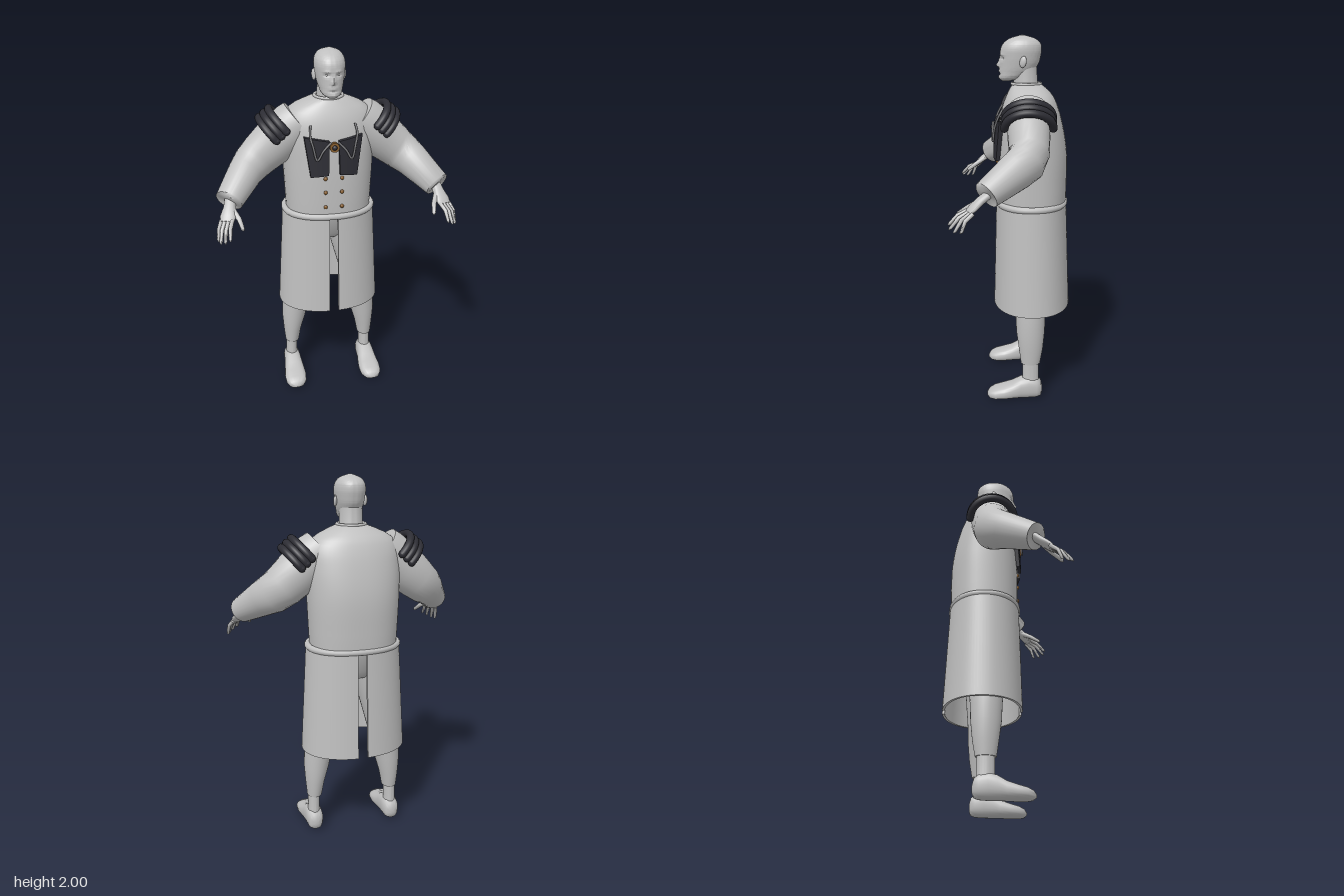
import * as THREE from 'three';
import { toCreasedNormals } from 'three/addons/utils/BufferGeometryUtils.js';

const V3 = (x, y, z) => new THREE.Vector3(x, y, z);
const mat = (name, color) => Object.assign(new THREE.MeshStandardMaterial({ color }), { name });

// Skin a list of point rings; the ends are closed with fans
function loft(rings, crease = 0.9) {
  const n = rings[0].length, pos = [], idx = [], last = rings.length - 1;
  rings.forEach(r => r.forEach(p => pos.push(p.x, p.y, p.z)));
  for (let i = 0; i < last; i++) for (let j = 0; j < n; j++) {
    const k = (j + 1) % n, a = i * n + j, b = i * n + k, c = b + n, d = a + n;
    idx.push(a, b, c, a, c, d);
  }
  [0, last].forEach(i => {
    const c = V3(0, 0, 0), id = pos.length / 3;
    rings[i].forEach(p => c.addScaledVector(p, 1 / n));
    pos.push(c.x, c.y, c.z);
    for (let j = 0; j < n; j++) {
      const a = i * n + j, b = i * n + (j + 1) % n;
      if (i) idx.push(a, b, id); else idx.push(b, a, id);
    }
  });
  const g = new THREE.BufferGeometry();
  g.setAttribute('position', new THREE.Float32BufferAttribute(pos, 3));
  g.setIndex(idx);
  return toCreasedNormals(g, crease);
}

const pw = (v, e) => Math.sign(v) * Math.abs(v) ** (2 / e);

// Horizontal ring from centre x, half width, front z and back z
function ringY(x, y, rx, zf, zb, e = 2, n = 40) {
  return Array.from({ length: n }, (_, j) => {
    const t = j / n * Math.PI * 2;
    return V3(x + rx * pw(Math.sin(t), e), y, (zf + zb) / 2 + (zf - zb) / 2 * pw(Math.cos(t), e));
  });
}

// Smooth sampler over [y, halfWidth, front, back] sections
function sampler(sections) {
  const f = new THREE.CubicInterpolant(sections.map(s => s[0]), sections.flatMap(s => s.slice(1)), 3);
  return y => Array.from(f.evaluate(y));
}

// Tapered limb along [x, y, z, widthRadius, depthRadius]
function limb(pts, s, n = 20) {
  const P = pts.map(p => V3(p[0] * s, p[1], p[2]));
  return loft(P.map((c, i) => {
    const W = P[Math.min(i + 1, P.length - 1)].clone().sub(P[Math.max(i - 1, 0)]).normalize();
    const U = V3(0, 1, 0).cross(W).normalize(), V = W.clone().cross(U);
    return Array.from({ length: n }, (_, j) => {
      const t = j / n * Math.PI * 2;
      return c.clone().addScaledVector(U, pts[i][3] * Math.cos(t)).addScaledVector(V, (pts[i][4] ?? pts[i][3]) * Math.sin(t));
    });
  }));
}

const TORSO = [[1.09, .235, .08, -.295], [1.2, .24, .082, -.298], [1.4, .248, .08, -.295], [1.55, .25, .07, -.268],
  [1.64, .238, .05, -.24], [1.69, .2, .03, -.215], [1.725, .13, .012, -.18], [1.745, .08, 0, -.155]];
const HEAD = [[1.762, .022, .055, .01], [1.775, .045, .067, -.04], [1.81, .062, .068, -.105], [1.85, .072, .066, -.138],
  [1.89, .078, .065, -.15], [1.93, .08, .062, -.155], [1.96, .072, .045, -.147], [1.985, .048, .008, -.113], [2, .008, -.045, -.06]];

export function createModel() {
  const model = new THREE.Group();
  const cloth = mat('light grey', 0xc0c0c0), dark = mat('dark armour', 0x2d2d34);
  const strap = mat('strap grey', 0x77777a), brass = mat('brass', 0x8a6030);
  const add = (name, geo, m = cloth) => {
    const mesh = new THREE.Mesh(geo, m);
    mesh.name = name;
    model.add(mesh);
    return mesh;
  };

  // Coat body and a helper giving its front surface
  const torso = sampler(TORSO);
  add('torso', loft(Array.from({ length: 31 }, (_, i) => {
    const y = 1.09 + .655 * i / 30;
    return ringY(0, y, ...torso(y), 2.4, 56);
  })));
  const frontZ = (x, y) => {
    const [rx, f, b] = torso(y);
    return (f + b) / 2 + (f - b) / 2 * (1 - Math.abs(x / rx) ** 2.4) ** (1 / 2.4);
  };

  // Collar, neck and belt
  const loop = (y, rx, zf, zb, r, e) => new THREE.TubeGeometry(new THREE.CatmullRomCurve3(ringY(0, y, rx, zf, zb, e), true), 80, r, 10, true);
  add('collar', loop(1.748, .075, .003, -.152, .008, 2));
  add('belt', loop(1.107, .246, .08, -.288, .018, 2.2));
  add('neck', loft([ringY(0, 1.7, .07, -.005, -.15), ringY(0, 1.76, .062, -.005, -.135), ringY(0, 1.84, .06, 0, -.13)]));

  // Head with brow, eye sockets, nose, lips and chin
  const head = sampler(HEAD);
  const bump = (p, x, y, sx, sy) => Math.exp(-(((Math.abs(p.x) - x) / sx) ** 2) - ((p.y - y) / sy) ** 2);
  add('head', loft(Array.from({ length: 61 }, (_, i) => {
    const y = 1.762 + .238 * i / 60;
    const ring = ringY(0, y, ...head(y), 2.15, 72);
    ring.forEach(p => {
      if (p.z < 0) return;
      p.z += .018 * bump(p, 0, 1.845, .011, .013) + .008 * bump(p, 0, 1.868, .008, .018) + .006 * bump(p, .03, 1.9, .02, .008)
        - .011 * bump(p, .03, 1.882, .015, .01) + .006 * bump(p, 0, 1.815, .02, .008) - .005 * bump(p, 0, 1.798, .02, .006)
        + .006 * bump(p, 0, 1.78, .018, .012);
    });
    return ring;
  }), 1.2));

  for (const s of [1, -1]) {
    const side = s > 0 ? 'left' : 'right';
    const put = (name, geo, m) => add(side + name, geo, m);

    // Ear and eye
    const ear = put('Ear', new THREE.SphereGeometry(1, 16, 12));
    ear.scale.set(.01, .03, .019);
    ear.position.set(s * .08, 1.865, -.055);
    ear.rotation.set(-.2, s * -.35, 0);
    put('Eye', new THREE.SphereGeometry(.009, 14, 10)).position.set(s * .03, 1.881, .042);

    // Sleeve with a wide cuff
    put('Sleeve', limb([[.16, 1.62, -.08, .11, .118], [.19, 1.595, -.08, .115, .125], [.3, 1.5, -.08, .108, .125], [.37, 1.44, -.08, .102, .115],
      [.42, 1.4, -.06, .098, .108], [.46, 1.37, -.015, .09, .098], [.562, 1.275, .13, .075, .07],
      [.563, 1.274, .131, .06, .056], [.556, 1.28, .122, .05, .045]].slice(0, 8), s, 28));

    // Hand, fingers and thumb
    put('Palm', limb([[.555, 1.285, .11, .028, .022], [.562, 1.25, .155, .032, .021], [.575, 1.215, .195, .042, .018], [.582, 1.195, .215, .036, .012]], s));
    [[.575, 1.13, .315], [.6, 1.115, .31], [.622, 1.105, .287], [.633, 1.105, .255]].forEach(([x, y, z], i) => {
      const b = [.553 + .019 * i, 1.205 - .003 * i, .208 - .005 * i];
      put('Finger', limb([[...b, .011], [(b[0] + x) / 2 + .006, (b[1] + y) / 2 + .012, (b[2] + z) / 2 + .006, .0105],
        [x, y + .008, z - .008, .008], [x, y, z, .003]], s, 10));
    });
    put('Thumb', limb([[.55, 1.24, .165, .016], [.52, 1.205, .22, .013], [.507, 1.172, .268, .01], [.505, 1.165, .275, .004]], s, 10));

    // Three arched ribs of the shoulder guard
    for (let k = 0; k < 3; k++) {
      const d = .02 + .035 * k;
      const arch = Array.from({ length: 17 }, (_, i) => {
        const t = i / 16 * Math.PI, h = -.01 + .115 * Math.sin(t);
        return V3(s * (.234 + .75 * d + .66 * h), 1.618 - .66 * d + .75 * h, -.08 + .123 * Math.cos(t));
      });
      put('ShoulderRib', new THREE.TubeGeometry(new THREE.CatmullRomCurve3(arch), 40, .021, 12), dark);
      [arch[0], arch[16]].forEach(p => put('ShoulderRibEnd', new THREE.SphereGeometry(.021, 12, 8), dark).position.copy(p));
    }

    // Chest plate wrapped on the coat
    const order = ring => s > 0 ? ring : ring.reverse();
    put('ChestPlate', loft(Array.from({ length: 9 }, (_, i) => {
      const u = i / 8, xt = .025 + .13 * u, xb = .03 + .095 * u, yt = 1.545 + .022 * u, yb = 1.35 + .01 * (1 - u);
      const p = (x, y, o) => V3(s * x, y, frontZ(x, y) + o);
      return order([p(xt, yt, .004), p(xt, yt, .028), p(xb, yb, .024), p(xb, yb, .004)]);
    }), .6), dark);

    // Zigzag strap over the plate
    const path = [[.118, 1.625, .01], [.125, 1.58, .026], [.112, 1.52, .034], [.092, 1.45, .034], [.06, 1.5, .034], [.018, 1.545, .034]]
      .map(([x, y, o]) => V3(s * x, y, frontZ(x, y) + o));
    put('ChestStrap', new THREE.TubeGeometry(new THREE.CatmullRomCurve3(path), 40, .006, 8), strap);

    // Coat buttons
    [1.335, 1.255, 1.17].forEach(y => {
      const b = put('Button', new THREE.SphereGeometry(.011, 14, 10), brass);
      b.position.set(s * .045, y, frontZ(.045, y) + .003);
      b.scale.z = .7;
    });

    // Skirt panel, open at the front and back
    put('SkirtPanel', loft(Array.from({ length: 41 }, (_, i) => {
      const t = .078 + (Math.PI - .156) * i / 40;
      const p = (y, rx, zf, zb, o) => V3(s * (rx - o) * pw(Math.sin(t), 2.15), y, (zf + zb) / 2 + ((zf - zb) / 2 - o) * pw(Math.cos(t), 2.15));
      const top = [1.1, .258, .09, -.3], hem = [.512, .292, .105, -.325];
      return order([p(...top, .014), p(...top, 0), p(...hem, 0), p(...hem, .014)]);
    }), .6));

    // Trouser leg and ankle
    put('Leg', loft([[1.05, .11, .12, .04, -.23], [.9, .125, .115, .03, -.22], [.7, .165, .1, .005, -.2], [.5, .198, .079, -.015, -.182],
      [.4, .211, .071, -.02, -.178], [.3, .222, .053, -.034, -.168], [.215, .226, .041, -.046, -.153]].reverse()
      .map(([y, x, rx, f, b]) => ringY(s * x, y, rx, f, b, 2, 28))));
    put('Ankle', loft([ringY(s * .23, .08, .038, -.05, -.15), ringY(s * .23, .14, .032, -.055, -.145), ringY(s * .228, .24, .033, -.055, -.145)]));

    // Shoe, built from heel to toe
    put('Shoe', loft([[-.166, .012, .04, .07], [-.158, .035, .015, .105], [-.135, .046, .006, .125], [-.09, .049, .003, .135], [-.045, .052, .003, .125],
      [0, .058, .003, .098], [.05, .064, .002, .08], [.1, .06, .002, .066], [.13, .043, .006, .052], [.145, .014, .018, .034]]
      .map(([z, rx, y0, y1]) => Array.from({ length: 28 }, (_, j) => {
        const t = j / 28 * Math.PI * 2;
        const x = .23 + (z > 0 ? .02 * z : 0);
        return V3(s * x + rx * pw(Math.cos(t), 2.5), (y0 + y1) / 2 + (y1 - y0) / 2 * pw(Math.sin(t), 2.5), z);
      }))));
  }

  // Hips under the skirt
  add('hips', loft([ringY(0, .93, .1, -.02, -.2), ringY(0, .98, .19, .03, -.24), ringY(0, 1.1, .225, .06, -.27)]));

  // Clasp joining the chest plates
  const clasp = add('clasp', new THREE.CylinderGeometry(.026, .026, .02, 20), brass);
  clasp.rotation.x = Math.PI / 2;
  clasp.position.set(0, 1.515, frontZ(0, 1.515) + .024);
  const boss = add('claspBoss', new THREE.SphereGeometry(.014, 14, 10), dark);
  boss.position.set(0, 1.515, frontZ(0, 1.515) + .032);

  return model;
}
